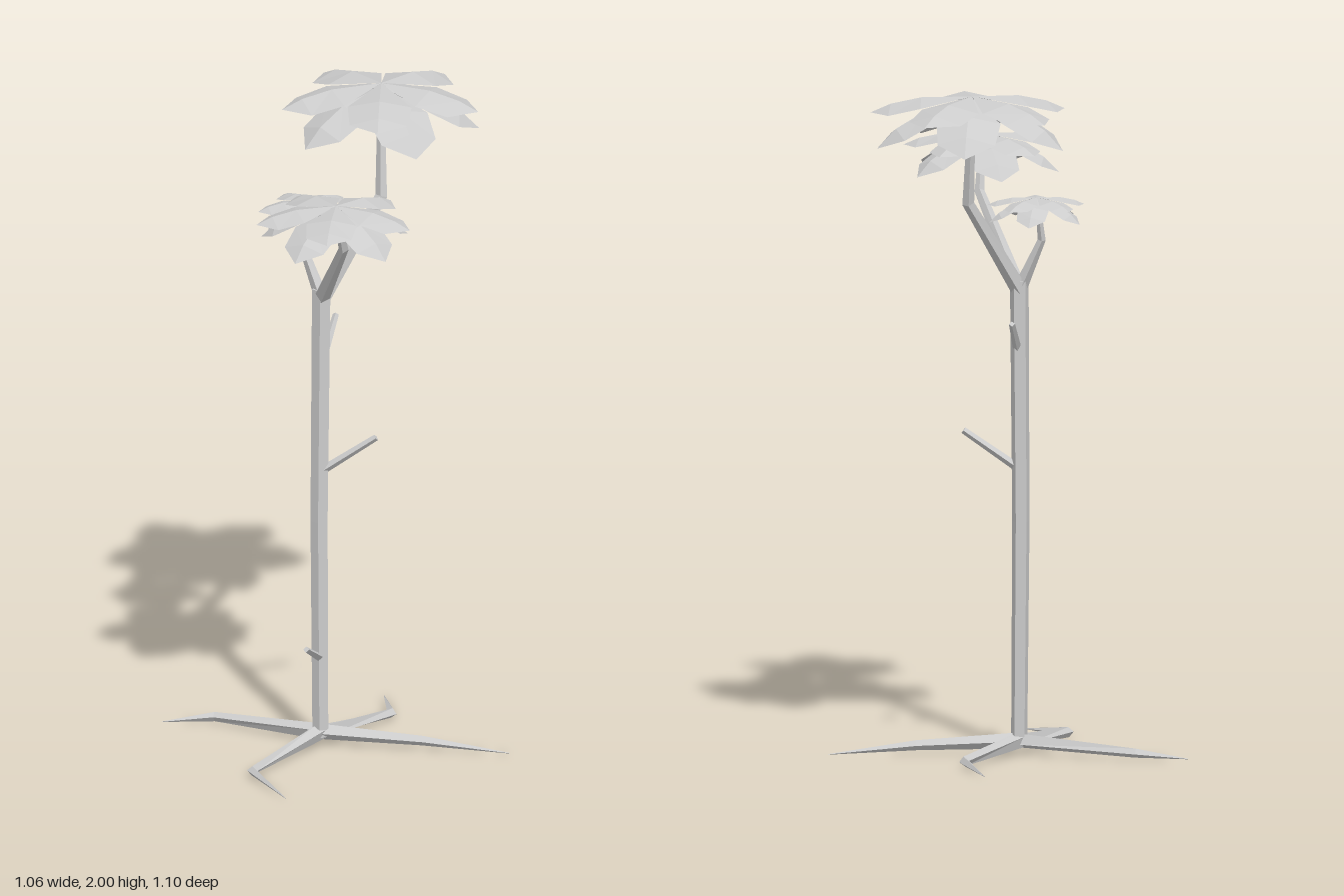
import * as THREE from 'three';
import { mergeGeometries } from 'three/addons/utils/BufferGeometryUtils.js';

const bark = new THREE.MeshStandardMaterial({ color: 0xcccccc, flatShading: true });
const foliage = new THREE.MeshStandardMaterial({ color: 0xcccccc, flatShading: true, side: THREE.DoubleSide });

function flatGeometry(positions, index) {
  const indexed = new THREE.BufferGeometry();
  indexed.setAttribute('position', new THREE.Float32BufferAttribute(positions, 3));
  indexed.setIndex(index);
  const g = indexed.toNonIndexed();
  g.computeVertexNormals();
  return g;
}

// Faceted limb through points [x, y, z, radius]
function limb(name, points, sides = 4) {
  const up = new THREE.Vector3(0, 1, 0);
  const p = points.map(q => new THREE.Vector3(q[0], q[1], q[2]));
  const pos = [], index = [];
  const n = p.length;
  p.forEach((c, i) => {
    const dir = new THREE.Vector3();
    if (i > 0) dir.add(c.clone().sub(p[i - 1]).normalize());
    if (i < n - 1) dir.add(p[i + 1].clone().sub(c).normalize());
    const q = new THREE.Quaternion().setFromUnitVectors(up, dir.normalize());
    for (let s = 0; s < sides; s++) {
      const a = (s / sides) * Math.PI * 2;
      const v = new THREE.Vector3(Math.sin(a), 0, Math.cos(a)).multiplyScalar(points[i][3]);
      pos.push(...v.applyQuaternion(q).add(c).toArray());
    }
  });
  for (let i = 0; i < n - 1; i++) {
    for (let s = 0; s < sides; s++) {
      const t = (s + 1) % sides;
      const a = i * sides + s, b = i * sides + t;
      index.push(a, b, a + sides, b, b + sides, a + sides);
    }
  }
  // End caps
  for (let s = 1; s < sides - 1; s++) {
    const e = (n - 1) * sides;
    index.push(0, s + 1, s, e, e + s, e + s + 1);
  }
  const mesh = new THREE.Mesh(flatGeometry(pos, index), bark);
  mesh.name = name;
  return mesh;
}

// Broad pointed leaf along +x, creased down its middle rib
function leaf(length, baseY, midY, endY, tipY) {
  const pos = [
    0, baseY, 0,
    0.46, midY - 0.07, -0.31, 0.5, midY, 0, 0.46, midY - 0.07, 0.31,
    0.78, endY - 0.08, -0.28, 0.8, endY, 0, 0.78, endY - 0.08, 0.28,
    1, tipY, 0
  ];
  for (let i = 0; i < pos.length; i += 3) {
    pos[i] *= length;
  }
  return flatGeometry(pos, [
    0, 2, 1, 0, 3, 2,
    1, 2, 4, 2, 5, 4, 2, 3, 5, 3, 6, 5,
    4, 5, 7, 5, 6, 7
  ]);
}

// Two whorls of five leaves; angles in degrees
function canopy(name, center, radius, upperAngle, lowerAngle) {
  const parts = [];
  for (let k = 0; k < 5; k++) {
    const turn = a => -THREE.MathUtils.degToRad(a + 72 * k);
    parts.push(leaf(1, 0, -0.02, -0.09, -0.18).rotateY(turn(upperAngle)));
    parts.push(leaf(0.95, -0.03, -0.13, -0.29, -0.48).rotateY(turn(lowerAngle)));
  }
  const mesh = new THREE.Mesh(mergeGeometries(parts), foliage);
  mesh.name = name;
  mesh.position.set(...center);
  mesh.scale.setScalar(radius);
  return mesh;
}

export function createModel() {
  const tree = new THREE.Group();
  tree.name = 'tree';

  tree.add(limb('trunk', [
    [-0.035, 0.03, -0.033, 0.025],
    [-0.04, 0.7, -0.04, 0.027],
    [-0.035, 1.42, -0.05, 0.029]
  ], 5));

  // Main branches
  tree.add(
    limb('tallBranch', [
      [-0.035, 1.39, -0.05, 0.025], [0.12, 1.67, -0.195, 0.018], [0.11, 1.985, -0.255, 0.01]
    ]),
    limb('frontBranch', [
      [-0.035, 1.39, -0.05, 0.023], [0.075, 1.645, 0.23, 0.015], [0.065, 1.795, 0.31, 0.008]
    ]),
    limb('smallBranch', [
      [-0.035, 1.39, -0.05, 0.021], [-0.1, 1.545, -0.085, 0.012], [-0.087, 1.665, -0.108, 0.007]
    ])
  );

  // Leaf crowns
  tree.add(
    canopy('tallCanopy', [0.11, 2.0, -0.26], 0.305, 11, 60),
    canopy('frontCanopy', [0.065, 1.807, 0.31], 0.24, 15.5, 41),
    canopy('smallCanopy', [-0.085, 1.675, -0.108], 0.15, 16, 65)
  );

  // Bare twigs on the trunk
  tree.add(
    limb('middleTwig', [[-0.035, 0.855, -0.038, 0.013], [0.13, 0.97, -0.035, 0.01]]),
    limb('upperTwig', [[-0.03, 1.21, -0.05, 0.013], [-0.01, 1.305, -0.16, 0.009]]),
    limb('lowerTwig', [[-0.038, 0.275, -0.03, 0.013], [-0.052, 0.355, 0.135, 0.009]])
  );

  // Roots spreading over the ground
  const base = [-0.035, 0.043, -0.035, 0.024];
  const roots = {
    leftRoot: [[0.27, 0.03, -0.036, 0.015], [0.53, 0.004, -0.038, 0.001]],
    rightRoot: [[-0.375, 0.024, -0.173, 0.014], [-0.53, 0.004, -0.16, 0.001]],
    frontRoot: [[-0.19, 0.02, 0.285, 0.015], [-0.06, 0.004, 0.47, 0.001]],
    backRoot: [[0.135, 0.02, -0.3, 0.015], [0.08, 0.004, -0.5, 0.001]]
  };
  for (const [name, points] of Object.entries(roots)) {
    tree.add(limb(name, [base, ...points]));
  }
  return tree;
}
